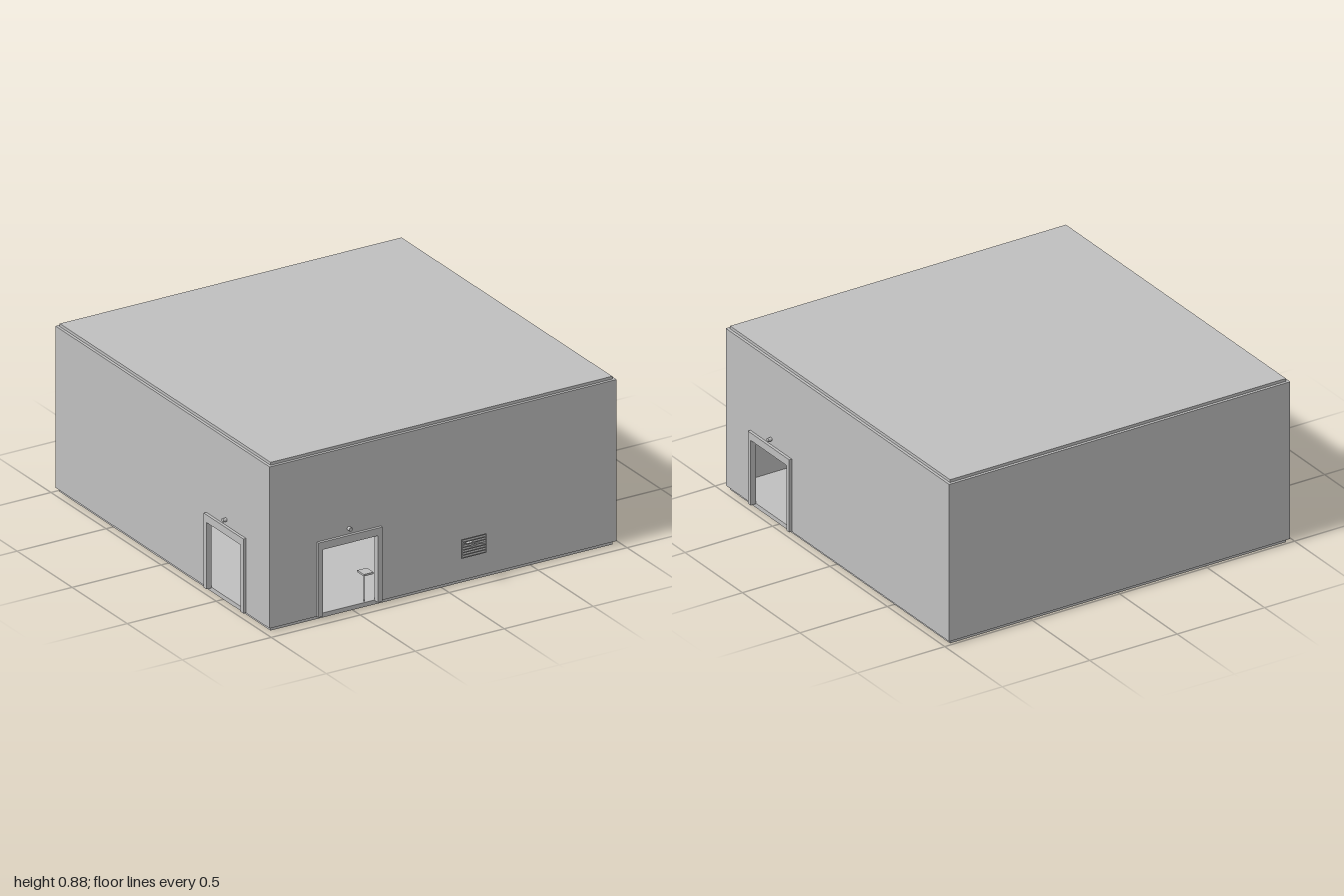
import * as THREE from 'three';

const GREY = new THREE.MeshStandardMaterial({ color: 0xbfbfbf });
GREY.name = 'plain grey';

const W = 0.975, ZB = -1, ZF = 0.945, T = 0.015; // shell extents and wall thickness
const Y0 = 0.02, Y1 = 0.865, TOP = 0.88;

function add(parent, name, geometry, x = 0, y = 0, z = 0) {
  const mesh = new THREE.Mesh(geometry, GREY);
  mesh.name = name;
  mesh.position.set(x, y, z);
  parent.add(mesh);
  return mesh;
}

// Box given by its minimum and maximum corners
function block(parent, name, [x0, y0, z0], [x1, y1, z1]) {
  return add(parent, name, new THREE.BoxGeometry(x1 - x0, y1 - y0, z1 - z0),
    (x0 + x1) / 2, (y0 + y1) / 2, (z0 + z1) / 2);
}

// Upright panel with a doorway reaching its lower edge
function doorPanel(left, right, top, doorCentre, doorWidth, doorTop, depth) {
  const a = doorCentre - doorWidth / 2, b = doorCentre + doorWidth / 2;
  const outline = [[left, Y0], [a, Y0], [a, doorTop], [b, doorTop], [b, Y0],
    [right, Y0], [right, top], [left, top]];
  const shape = new THREE.Shape(outline.map(([x, y]) => new THREE.Vector2(x, y)));
  return new THREE.ExtrudeGeometry(shape, { depth, bevelEnabled: false });
}

// Raised door surround with a small round lamp above; outward is local +z
function doorway(parent, name, centre) {
  const group = new THREE.Group();
  group.name = name;
  add(group, 'doorFrame', doorPanel(centre - 0.18, centre + 0.18, 0.41, centre, 0.31, 0.37, 0.015));
  const lamp = new THREE.CylinderGeometry(0.01, 0.01, 0.02, 16);
  lamp.rotateX(Math.PI / 2);
  add(group, 'doorLamp', lamp, centre, 0.44, 0.01);
  parent.add(group);
  return group;
}

export function createModel() {
  const model = new THREE.Group();
  model.name = 'building';

  // Floor, roof and back wall
  block(model, 'floorSlab', [-W + T, 0, ZB + T], [W - T, Y0 + 0.003, ZF - T]);
  block(model, 'roofSlab', [-W + T, Y1 - T, ZB + T], [W - T, TOP, ZF - T]);
  block(model, 'backWall', [-W, Y0, ZB], [W, Y1, ZB + T]);

  // Front wall and its doorway
  add(model, 'frontWall', doorPanel(-W, W, Y1, -0.53, 0.31, 0.37, T), 0, 0, ZF - T);
  doorway(model, 'frontDoorway', -0.53).position.z = ZF;

  // Side walls with facing doorways
  for (const side of [1, -1]) {
    const name = side > 0 ? 'left' : 'right';
    const centre = -side * 0.55;
    const [a, b] = side > 0 ? [-ZF + T, -ZB - T] : [ZB + T, ZF - T];
    const wall = add(model, name + 'Wall', doorPanel(a, b, Y1, centre, 0.31, 0.37, T), side * (W - T));
    const door = doorway(model, name + 'Doorway', centre);
    door.position.x = side * W;
    wall.rotation.y = door.rotation.y = side * Math.PI / 2;
  }

  // Slatted grille standing just off the front wall
  const grille = new THREE.Group();
  grille.name = 'wallGrille';
  for (let i = 0; i < 8; i++) {
    const y = 0.16 + i * 0.0135;
    block(grille, 'grilleSlat', [0.07, y, 0.996], [0.21, y + 0.005, 1]);
  }
  for (const x of [0.07, 0.206]) block(grille, 'grilleEdge', [x, 0.16, 0.996], [x + 0.004, 0.26, 1]);
  const brace = block(grille, 'grilleBrace', [0.07, 0.222, 0.996], [0.21, 0.226, 0.999]);
  brace.rotation.z = -0.2;
  block(grille, 'grilleBracket', [0.125, 0.21, ZF], [0.155, 0.215, 0.998]);
  model.add(grille);

  // Small fittings inside the doors
  block(model, 'wallShelf', [-0.43, 0.155, 0.86], [-0.375, 0.165, 0.92]);
  block(model, 'shelfPost', [-0.43, 0.023, 0.915], [-0.425, 0.155, 0.92]);
  const drum = new THREE.CylinderGeometry(0.03, 0.03, 0.06, 20);
  drum.rotateX(Math.PI / 2);
  add(model, 'drum', drum, -0.405, 0.065, 0.43);
  block(model, 'drumStand', [-0.425, 0.023, 0.41], [-0.385, 0.04, 0.45]);
  for (const z of [0.5, 0.6, 0.67]) block(model, 'floorPlate', [-0.75, 0.023, z - 0.025], [-0.7, 0.028, z + 0.025]);

  return model;
}
